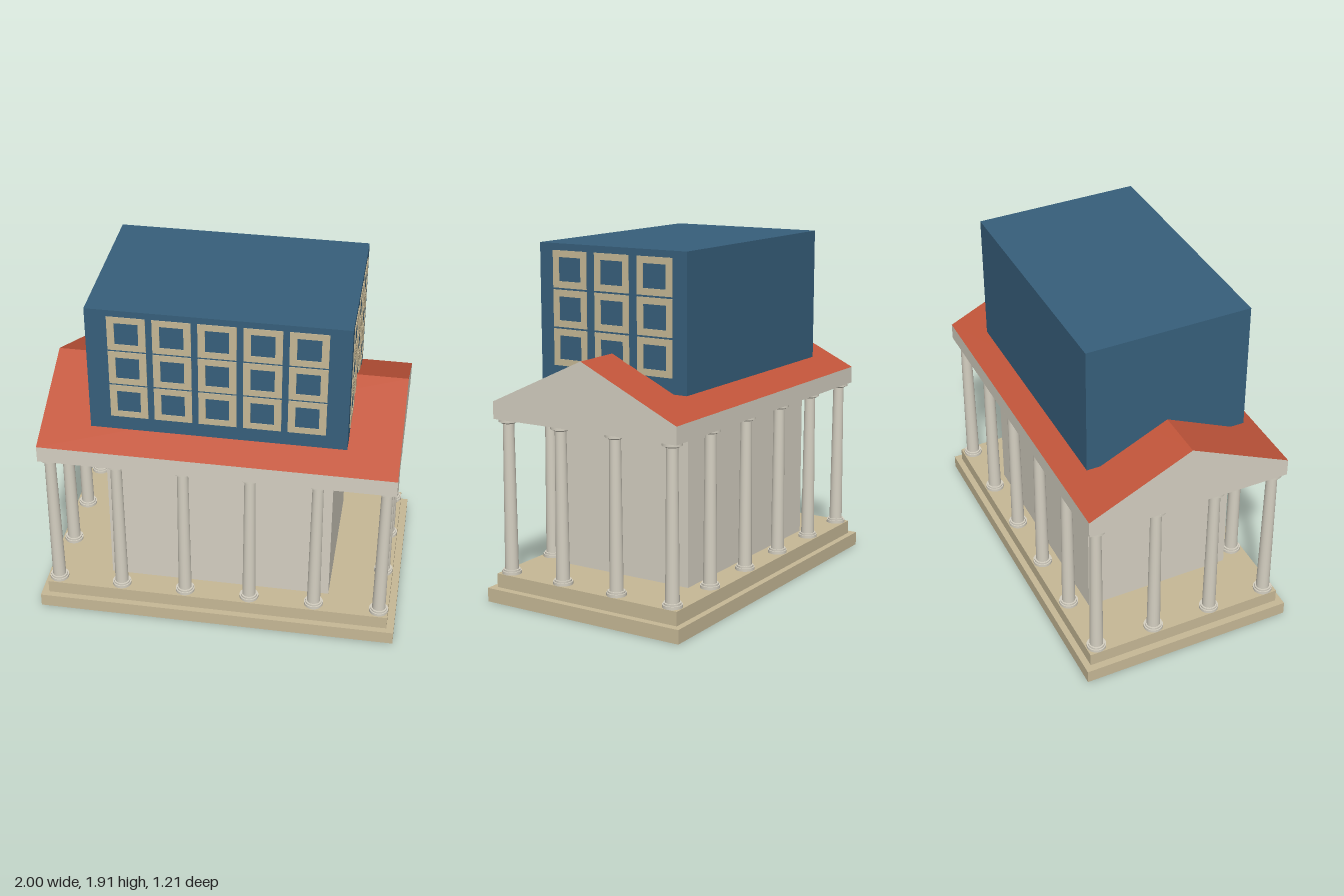
import * as THREE from 'three';

const mat = (name, color) => {
  const m = new THREE.MeshStandardMaterial({ color });
  m.name = name;
  return m;
};

export function createModel() {
  const stone = mat('stone', 0xd4cfc1);
  const sand = mat('sand', 0xc6b896);
  const red = mat('roof red', 0xc2553a);
  const blue = mat('blue', 0x375f7b);

  const root = new THREE.Group();
  root.name = 'temple';

  const add = (name, geometry, material, parent = root) => {
    const mesh = new THREE.Mesh(geometry, material);
    mesh.name = name;
    parent.add(mesh);
    return mesh;
  };
  // Box centred on x and z, spanning y0 to y1
  const slab = (name, w, d, y0, y1, material) => {
    add(name, new THREE.BoxGeometry(w, y1 - y0, d), material).position.y = (y0 + y1) / 2;
  };

  // Stepped platform, inner hall and entablature
  slab('lowerStep', 2, 1.21, 0, 0.076, sand);
  slab('upperStep', 1.92, 1.14, 0.076, 0.152, sand);
  slab('hall', 1.236, 0.844, 0.152, 1.0, stone);
  slab('entablature', 1.92, 1.14, 1.0, 1.094, stone);

  // Gable roof: stone ends, red slopes
  const gable = new THREE.Shape([
    new THREE.Vector2(-0.57, 1.094),
    new THREE.Vector2(0.57, 1.094),
    new THREE.Vector2(0, 1.36),
  ]);
  const roof = new THREE.ExtrudeGeometry(gable, { depth: 1.92, bevelEnabled: false });
  roof.translate(0, 0, -0.96).rotateY(Math.PI / 2);
  add('gableRoof', roof, [stone, red]);

  // Columns around the edge of the platform
  const drums = [
    ['base', 0.053, 0.053, 0.152, 0.168],
    ['baseRing', 0.046, 0.046, 0.168, 0.178],
    ['shaft', 0.03, 0.037, 0.178, 0.976],
    ['capitalRing', 0.045, 0.036, 0.976, 0.985],
    ['capital', 0.053, 0.053, 0.985, 1.0],
  ].map(([name, top, bottom, y0, y1]) => {
    const geometry = new THREE.CylinderGeometry(top, bottom, y1 - y0, 20);
    geometry.translate(0, (y0 + y1) / 2, 0);
    return [name, geometry];
  });
  for (let i = 0; i < 6; i++) {
    for (let j = 0; j < 4; j++) {
      if (i > 0 && i < 5 && j > 0 && j < 3) continue;
      const column = new THREE.Group();
      column.name = 'column';
      column.position.set((i - 2.5) * 0.363, 0, (j - 1.5) * 0.341);
      for (const [name, geometry] of drums) add(name, geometry, stone, column);
      root.add(column);
    }
  }

  // Block rising out of the roof
  slab('upperBlock', 1.364, 0.908, 1.184, 1.91, blue);

  // Square window frames in three rows, laid on one face of the block
  const windowWall = (name, columns, spacing, width, opening) => {
    const wall = new THREE.Group();
    wall.name = name;
    const rect = (path, w, h) => path.moveTo(-w / 2, -h / 2).lineTo(w / 2, -h / 2)
      .lineTo(w / 2, h / 2).lineTo(-w / 2, h / 2).closePath();
    const shape = rect(new THREE.Shape(), width, 0.196);
    shape.holes.push(rect(new THREE.Path(), opening, 0.126));
    const geometry = new THREE.ExtrudeGeometry(shape, { depth: 0.004, bevelEnabled: false });
    for (let row = 0; row < 3; row++) {
      for (let col = 0; col < columns; col++) {
        const frame = add('windowFrame', geometry, sand, wall);
        frame.position.set((col - (columns - 1) / 2) * spacing, 1.364 + row * 0.206, 0);
      }
    }
    root.add(wall);
    return wall;
  };
  windowWall('frontWindows', 5, 0.234, 0.2, 0.124).position.z = 0.454;
  const side = windowWall('leftWindows', 3, 0.263, 0.213, 0.138);
  side.position.x = 0.682;
  side.rotation.y = Math.PI / 2;

  return root;
}
